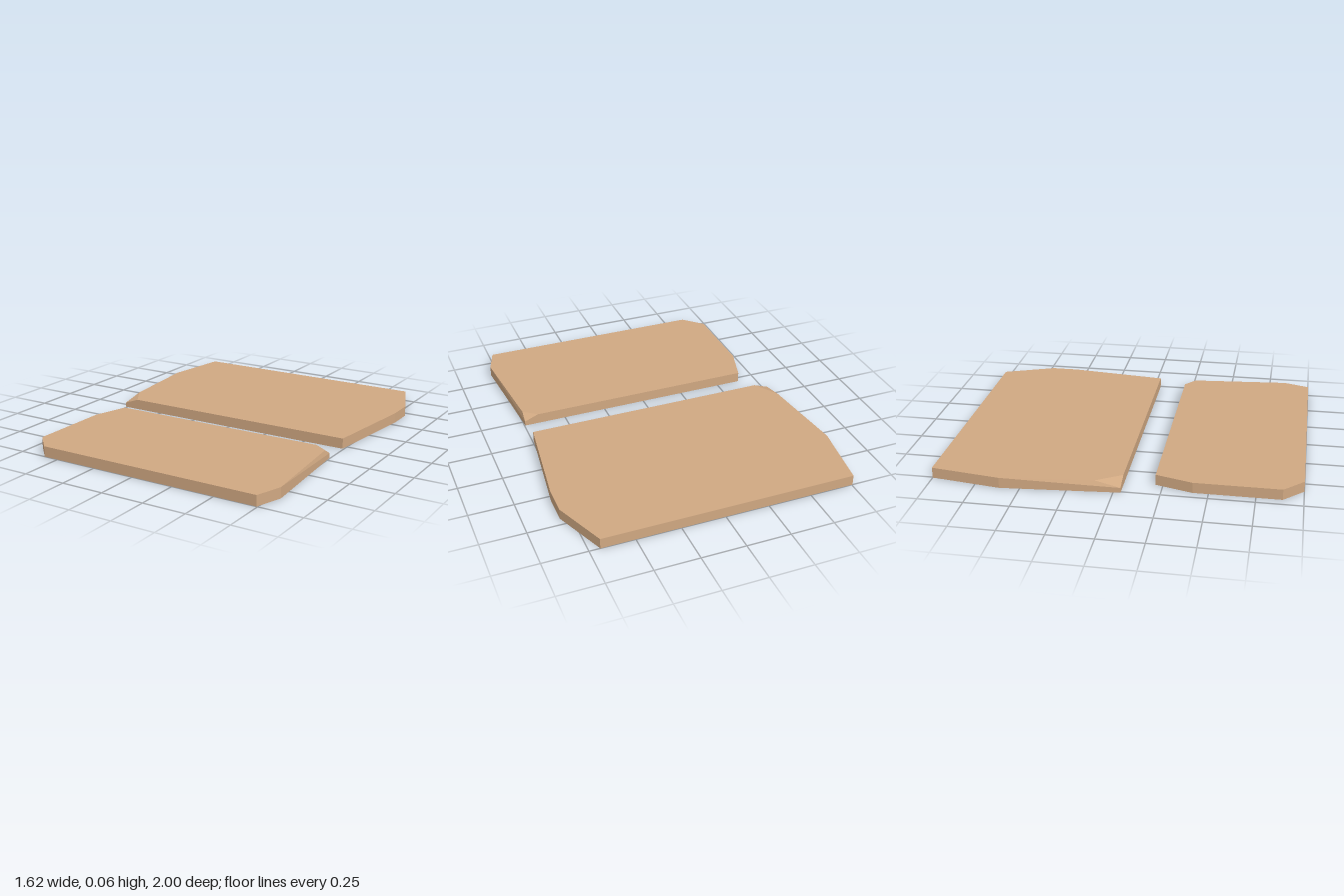
import * as THREE from 'three';
import { ConvexGeometry } from 'three/addons/geometries/ConvexGeometry.js';

const THICKNESS = 0.06;
const CHIP_HEIGHT = 0.028; // height left at the broken corner

const tan = new THREE.MeshStandardMaterial({ color: 0xd0a882 });
tan.name = 'tan stone';

// A flat convex slab whose corner at index `chipped` is broken down to
// CHIP_HEIGHT; `chipRim` holds the two top points where the break starts.
function makeSlab(name, outline, chipped, chipRim) {
  const points = [];
  outline.forEach(([x, z], i) => {
    points.push(new THREE.Vector3(x, 0, z));
    points.push(new THREE.Vector3(x, i === chipped ? CHIP_HEIGHT : THICKNESS, z));
  });
  for (const [x, z] of chipRim) points.push(new THREE.Vector3(x, THICKNESS, z));
  const slab = new THREE.Mesh(new ConvexGeometry(points), tan);
  slab.name = name;
  return slab;
}

export function createModel() {
  const model = new THREE.Group();
  model.name = 'pavingSlabs';

  // Large rear slab, chipped at its front right corner
  model.add(makeSlab('rearSlab', [
    [-0.755, -1], [0.69, -1], [0.81, -0.7], [0.81, -0.54],
    [0.742, 0.04], [-0.76, 0.04], [-0.812, -0.61],
  ], 5, [[-0.67, 0.04], [-0.757, -0.1]]));

  // Smaller front slab, chipped at its rear left corner
  model.add(makeSlab('frontSlab', [
    [-0.64, 0.21], [0.745, 0.21], [0.795, 0.85], [0.745, 1],
    [-0.59, 1], [-0.7, 0.89], [-0.7, 0.415],
  ], 1, [[0.665, 0.21], [0.743, 0.27]]));

  return model;
}
